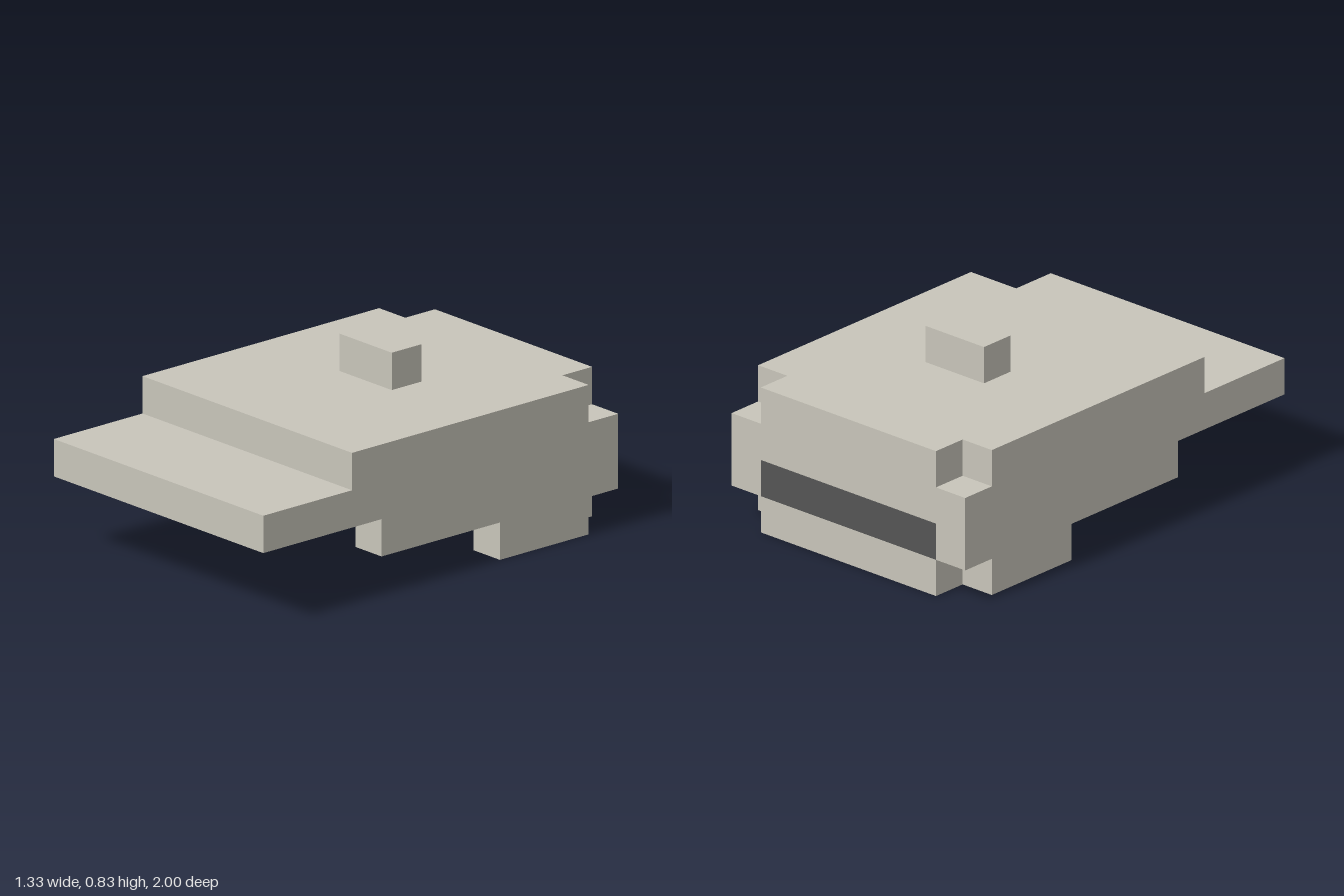
import * as THREE from 'three';

const U = 1 / 6; // one block

export function createModel() {
  const group = new THREE.Group();
  const stone = new THREE.MeshStandardMaterial({ color: 0xc8c5ba });
  stone.name = 'pale stone';
  const dark = new THREE.MeshStandardMaterial({ color: 0x555555 });
  dark.name = 'dark grey';

  const add = (name, geometry, material) => {
    const mesh = new THREE.Mesh(geometry, material);
    mesh.name = name;
    group.add(mesh);
  };

  // Box from its limits, in blocks
  const box = (name, [x0, x1], [y0, y1], [z0, z1], material = stone) => {
    const geometry = new THREE.BoxGeometry((x1 - x0) * U, (y1 - y0) * U, (z1 - z0) * U);
    geometry.translate((x0 + x1) / 2 * U, (y0 + y1) / 2 * U, (z0 + z1) / 2 * U);
    add(name, geometry, material);
  };

  // Stepped side walls: one (z, y) profile, with notched back corners
  const profile = [
    [6, 2], [6, 3], [3, 3], [3, 4], [-5, 4], [-5, 3], [-6, 3],
    [-6, 1], [-5, 1], [-5, 0], [-2, 0], [-2, 1], [2, 1], [2, 2],
  ];
  const shape = new THREE.Shape(profile.map(([z, y]) => new THREE.Vector2(z * U, y * U)));
  for (const [name, outerX] of [['leftWall', 4], ['rightWall', -3]]) {
    const geometry = new THREE.ExtrudeGeometry(shape, { depth: U, bevelEnabled: false });
    geometry.rotateY(-Math.PI / 2);
    geometry.translate(outerX * U, 0, 0);
    add(name, geometry, stone);
  }

  // Roof, brim and knob; the inside stays hollow
  box('roof', [-3, 3], [3, 4], [-6, 3]);
  box('brim', [-3, 3], [2, 3], [2, 6]);
  box('knob', [-1, 1], [4, 5], [-2, -1]);

  // Back wall with a dark band through it
  box('backWallUpper', [-3, 3], [2, 3], [-6, -5]);
  box('backBand', [-3, 3], [1, 2], [-6, -5], dark);
  box('backWallLower', [-3, 3], [0, 1], [-6, -5]);

  return group;
}
